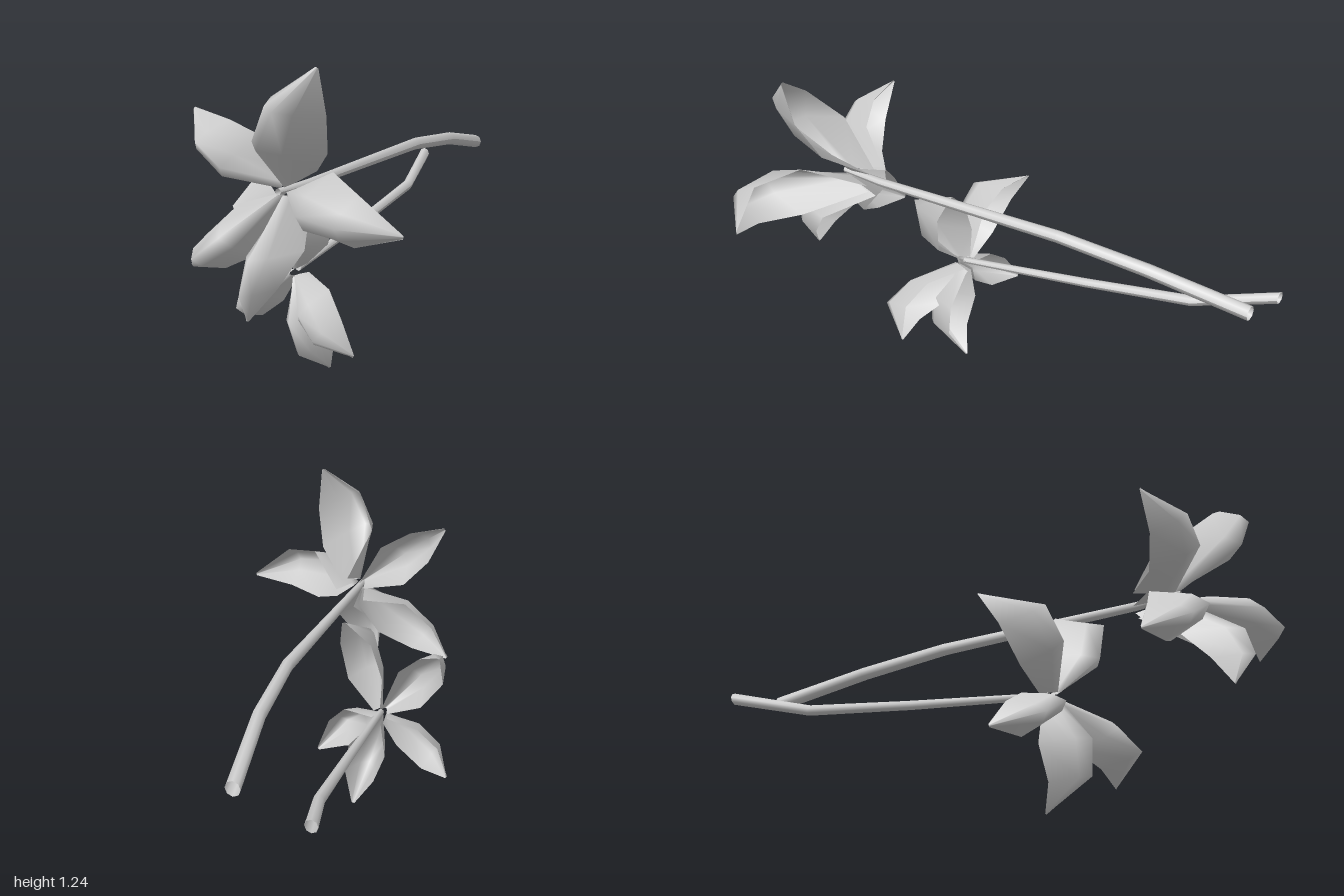
import * as THREE from 'three';

const material = new THREE.MeshStandardMaterial({ color: 0xcccccc, side: THREE.DoubleSide });
const V = (a) => new THREE.Vector3(...a);

// Skin a list of equal-length rows of points with smooth normals.
function skin(rows, name) {
  const n = rows[0].length, index = [];
  for (let i = 0; i < rows.length - 1; i++) {
    for (let j = 0; j < n - 1; j++) {
      const a = i * n + j, b = a + n;
      index.push(a, a + 1, b, a + 1, b + 1, b);
    }
  }
  const geometry = new THREE.BufferGeometry().setFromPoints(rows.flat());
  geometry.setIndex(index);
  geometry.computeVertexNormals();
  const mesh = new THREE.Mesh(geometry, material);
  mesh.name = name;
  return mesh;
}

// Cupped petal: a raised midrib with both edges falling back, narrowing to the tip.
// a, b: edge points at two stations; ribZ: midrib depth there.
function petal(flower, { a, b, ribZ, tip }) {
  const c = V(flower.centre), t = V(tip);
  const out = t.clone().sub(c).setZ(0).normalize();
  const side = new THREE.Vector3(-out.y, out.x, 0);
  const root = (s) => c.clone().addScaledVector(out, flower.spread)
    .addScaledVector(side, s * 0.014).setZ(flower.edgeZ);
  const rootRib = c.clone().addScaledVector(out, 0.015).setZ(flower.ribZ);
  const end = (s) => t.clone().addScaledVector(side, s * 0.006);
  const stations = [[root(1), root(-1), rootRib]];
  for (let i = 0; i < 2; i++) {
    const p = V(a[i]), q = V(b[i]);
    stations.push([p, q, p.clone().add(q).multiplyScalar(0.5).setZ(ribZ[i])]);
  }
  stations.push([end(1), end(-1), t]);
  const rows = stations.map(([p, q, rib]) => {
    const mid = p.clone().add(q).multiplyScalar(0.5);
    const rise = rib.clone().sub(mid);
    return [0, 0.25, 0.5, 0.75, 1].map((u) =>
      p.clone().lerp(q, u).addScaledVector(rise, 1 - (2 * u - 1) ** 2));
  });
  return skin(rows, 'petal');
}

// Tapered eight-sided stem, open at both ends. Points run from back to front.
function stem(points, radii) {
  const rows = points.map((p, i) => Array.from({ length: 9 }, (_, j) => {
    const k = (j / 8) * Math.PI * 2;
    return new THREE.Vector3(p[0] + Math.cos(k) * radii[i], p[1] + Math.sin(k) * radii[i], p[2]);
  }));
  return skin(rows, 'stem');
}

// a is the edge anticlockwise of the petal axis seen from the front, b the other.
const upper = {
  name: 'upperFlower', centre: [0, 0.8, 0.6], edgeZ: 0.57, ribZ: 0.72, spread: 0.06,
  petals: [
    { a: [[-0.03, 1.02, 0.75], [0.06, 1.14, 0.86]], b: [[0.17, 0.94, 0.7], [0.22, 1.08, 0.78]],
      ribZ: [0.96, 0.97], tip: [0.22, 1.24, 0.83] },
    { a: [[0.23, 0.895, 0.76], [0.39, 0.855, 0.86]], b: [[0.22, 0.68, 0.78], [0.38, 0.685, 0.87]],
      ribZ: [0.97, 0.99], tip: [0.535, 0.73, 0.83] },
    { a: [[0.12, 0.62, 0.77], [0.07, 0.5, 0.86]], b: [[-0.065, 0.61, 0.75], [-0.04, 0.5, 0.85]],
      ribZ: [0.96, 0.995], tip: [-0.01, 0.395, 0.92] },
    { a: [[-0.08, 0.58, 0.72], [-0.22, 0.51, 0.76]], b: [[-0.2, 0.73, 0.7], [-0.31, 0.62, 0.74]],
      ribZ: [0.9, 0.89], tip: [-0.38, 0.495, 0.745] },
    { a: [[-0.19, 0.815, 0.7], [-0.28, 0.91, 0.75]], b: [[-0.09, 0.97, 0.69], [-0.2, 1.03, 0.74]],
      ribZ: [0.88, 0.88], tip: [-0.345, 1.06, 0.75] },
  ],
  stem: [[[-0.16, 0.7, -1], [-0.09, 0.775, -0.62], [-0.05, 0.81, -0.26], [-0.01, 0.795, 0.56], [-0.005, 0.8, 0.74]],
    [0.028, 0.026, 0.024, 0.017, 0.012]],
};
const lower = {
  name: 'lowerFlower', centre: [-0.23, 0.395, 0.29], edgeZ: 0.285, ribZ: 0.35, spread: 0.03,
  petals: [
    { a: [[-0.24, 0.56, 0.28], [-0.19, 0.7, 0.28]], b: [[-0.08, 0.52, 0.33], [-0.05, 0.68, 0.31]],
      ribZ: [0.48, 0.48], tip: [-0.08, 0.79, 0.26] },
    { a: [[-0.4, 0.46, 0.29], [-0.495, 0.59, 0.26]], b: [[-0.31, 0.61, 0.27], [-0.4, 0.69, 0.24]],
      ribZ: [0.44, 0.42], tip: [-0.495, 0.73, 0.175] },
    { a: [[-0.3, 0.265, 0.31], [-0.41, 0.185, 0.3]], b: [[-0.39, 0.36, 0.29], [-0.48, 0.295, 0.28]],
      ribZ: [0.44, 0.42], tip: [-0.53, 0.195, 0.245] },
    { a: [[-0.1, 0.24, 0.29], [-0.085, 0.12, 0.29]], b: [[-0.26, 0.22, 0.28], [-0.21, 0.09, 0.29]],
      ribZ: [0.45, 0.43], tip: [-0.14, 0.003, 0.24] },
    { a: [[-0.05, 0.36, 0.37], [0.035, 0.27, 0.42]], b: [[-0.14, 0.22, 0.36], [-0.04, 0.17, 0.41]],
      ribZ: [0.51, 0.555], tip: [0.078, 0.135, 0.41] },
  ],
  stem: [[[-0.425, 0.62, -1], [-0.335, 0.535, -0.69], [-0.285, 0.475, -0.25], [-0.23, 0.405, 0.31]],
    [0.024, 0.022, 0.019, 0.013]],
};

export function createModel() {
  const model = new THREE.Group();
  model.name = 'flowers';
  for (const flower of [upper, lower]) {
    const group = new THREE.Group();
    group.name = flower.name;
    flower.petals.forEach((p) => group.add(petal(flower, p)));
    group.add(stem(...flower.stem));
    model.add(group);
  }
  return model;
}
